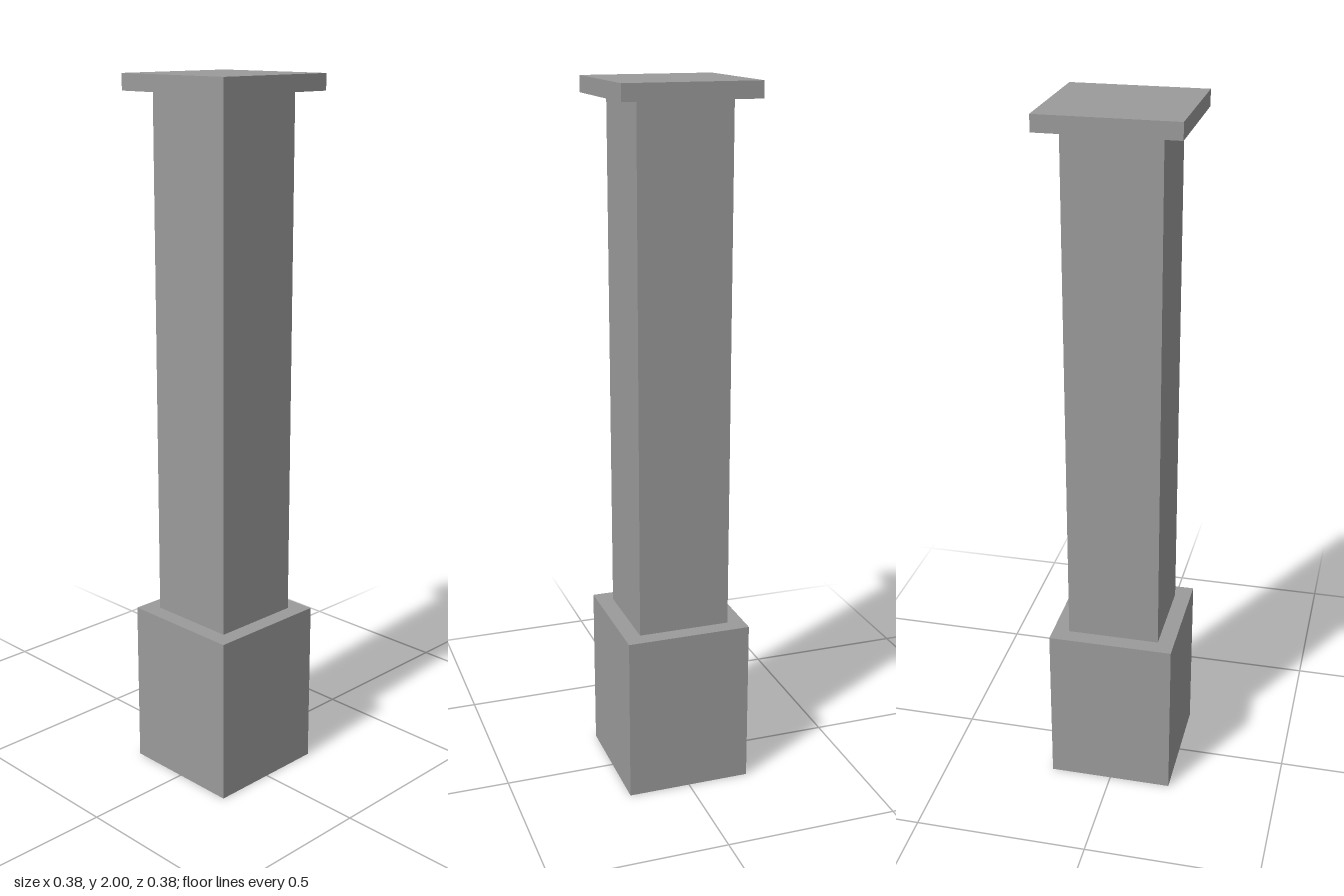
import * as THREE from 'three';

export function createModel() {
  const group = new THREE.Group();
  group.name = 'squareColumn';
  const stone = new THREE.MeshStandardMaterial({ color: 0x9b9b9b });
  stone.name = 'grey stone';

  // Square block spanning the heights bottom to top
  function block(name, width, bottom, top) {
    const mesh = new THREE.Mesh(new THREE.BoxGeometry(width, top - bottom, width), stone);
    mesh.name = name;
    mesh.position.y = (bottom + top) / 2;
    group.add(mesh);
  }

  block('base', 0.36, 0, 0.48);
  block('shaft', 0.265, 0.48, 1.955);
  block('cap', 0.38, 1.955, 2);

  return group;
}
